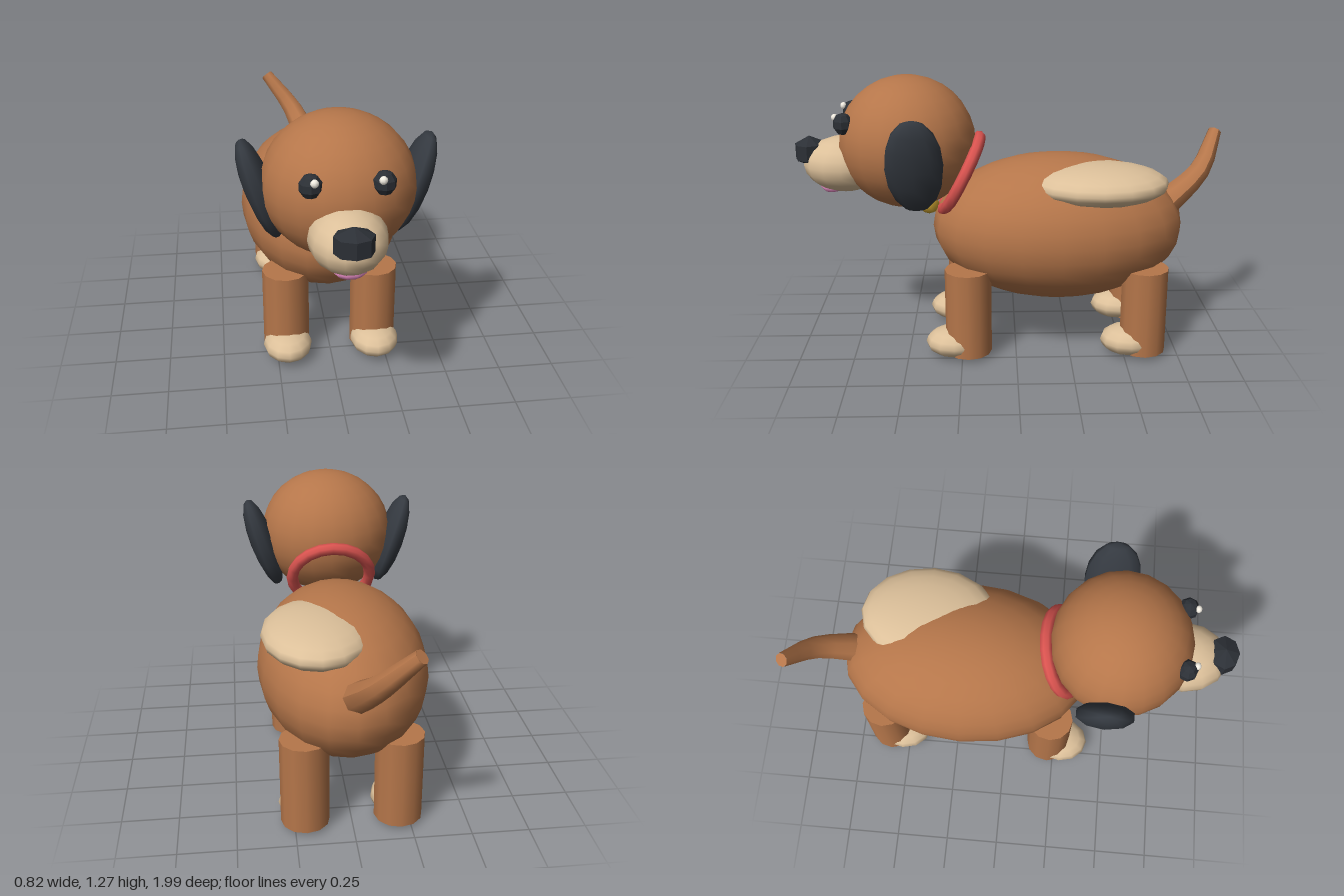
import * as THREE from 'three';

const paint = (color, flat = false) => new THREE.MeshStandardMaterial({ color, flatShading: flat });
const brown = paint(0xb5764a), cream = paint(0xdcc09a), dark = paint(0x343940), red = paint(0xd9534f);
const darkFlat = paint(0x2c3036, true), pink = paint(0xd984b8), gold = paint(0xc9a030), white = paint(0xf4efe4);

export function createModel() {
  const dog = new THREE.Group();
  dog.name = 'dog';

  const add = (name, geometry, material, x, y, z) => {
    const mesh = new THREE.Mesh(geometry, material);
    mesh.name = name;
    mesh.position.set(x, y, z);
    dog.add(mesh);
    return mesh;
  };
  // Sphere stretched to three radii
  const blob = (name, material, [x, y, z], [rx, ry, rz], w = 12, h = 8) => {
    const mesh = add(name, new THREE.SphereGeometry(1, w, h), material, x, y, z);
    mesh.scale.set(rx, ry, rz);
    return mesh;
  };

  // Body, back patch and head
  blob('body', brown, [0, 0.57, -0.2], [0.38, 0.34, 0.583], 20, 16);
  blob('backPatch', cream, [0.13, 0.805, -0.375], [0.235, 0.09, 0.315], 16, 12);
  blob('head', brown, [0, 0.975, 0.49], [0.318, 0.3, 0.31], 20, 16);

  // Muzzle, nose and tongue
  blob('muzzle', cream, [0, 0.873, 0.775], [0.157, 0.128, 0.19], 14, 10);
  blob('nose', darkFlat, [0, 0.932, 0.935], [0.09, 0.07, 0.075], 8, 3);
  blob('tongue', pink, [0, 0.77, 0.84], [0.072, 0.031, 0.056], 10, 4);

  for (const side of [1, -1]) {
    const label = side > 0 ? 'left' : 'right';

    // Eyes with highlights
    blob(label + 'Eye', darkFlat, [side * 0.14, 1.086, 0.755], [0.047, 0.05, 0.045], 8, 5);
    blob(label + 'EyeHighlight', white, [side * 0.128, 1.112, 0.792], [0.017, 0.017, 0.015], 8, 6);

    // Floppy ears, tops leaning outward
    const ear = blob(label + 'Ear', dark, [side * 0.317, 0.937, 0.437], [0.062, 0.23, 0.13], 10, 8);
    ear.rotation.z = -side * 0.32;

    // Legs and paws
    for (const [end, z] of [['Front', 0.22], ['Back', -0.59]]) {
      add(label + end + 'Leg', new THREE.CylinderGeometry(0.106, 0.106, 0.405, 12), brown,
        side * 0.203, 0.2225, z);
      blob(label + end + 'Paw', cream, [side * 0.203, 0.069, z + 0.065], [0.112, 0.069, 0.133], 12, 8);
    }
  }

  // Collar and tag
  const collar = add('collar', new THREE.TorusGeometry(0.188, 0.028, 8, 20), red, 0, 0.82, 0.248);
  collar.rotation.x = -0.48;
  blob('collarTag', gold, [0, 0.675, 0.4], [0.047, 0.05, 0.047], 8, 4);

  // Tail: a curved tube, tapered by pulling its rings toward the path
  const path = new THREE.CatmullRomCurve3([[0, 0.66, -0.7], [-0.07, 0.8, -0.87], [-0.2, 0.965, -0.965]]
    .map(p => new THREE.Vector3(...p)));
  const rings = 6, sides = 8, radius = 0.07, taper = 0.55;
  const tube = new THREE.TubeGeometry(path, rings, radius, sides);
  const pos = tube.attributes.position, v = new THREE.Vector3();
  for (let i = 0; i < pos.count; i++) {
    const t = Math.floor(i / (sides + 1)) / rings;
    const centre = path.getPointAt(t);
    v.fromBufferAttribute(pos, i).sub(centre).multiplyScalar(1 - taper * t).add(centre);
    pos.setXYZ(i, v.x, v.y, v.z);
  }
  tube.computeVertexNormals();
  add('tail', tube, brown, 0, 0, 0);

  // Flat tail end
  const end = path.getPointAt(1);
  const tip = add('tailTip', new THREE.CircleGeometry(radius * (1 - taper), sides), brown, end.x, end.y, end.z);
  tip.lookAt(end.clone().add(path.getTangentAt(1)));

  return dog;
}
